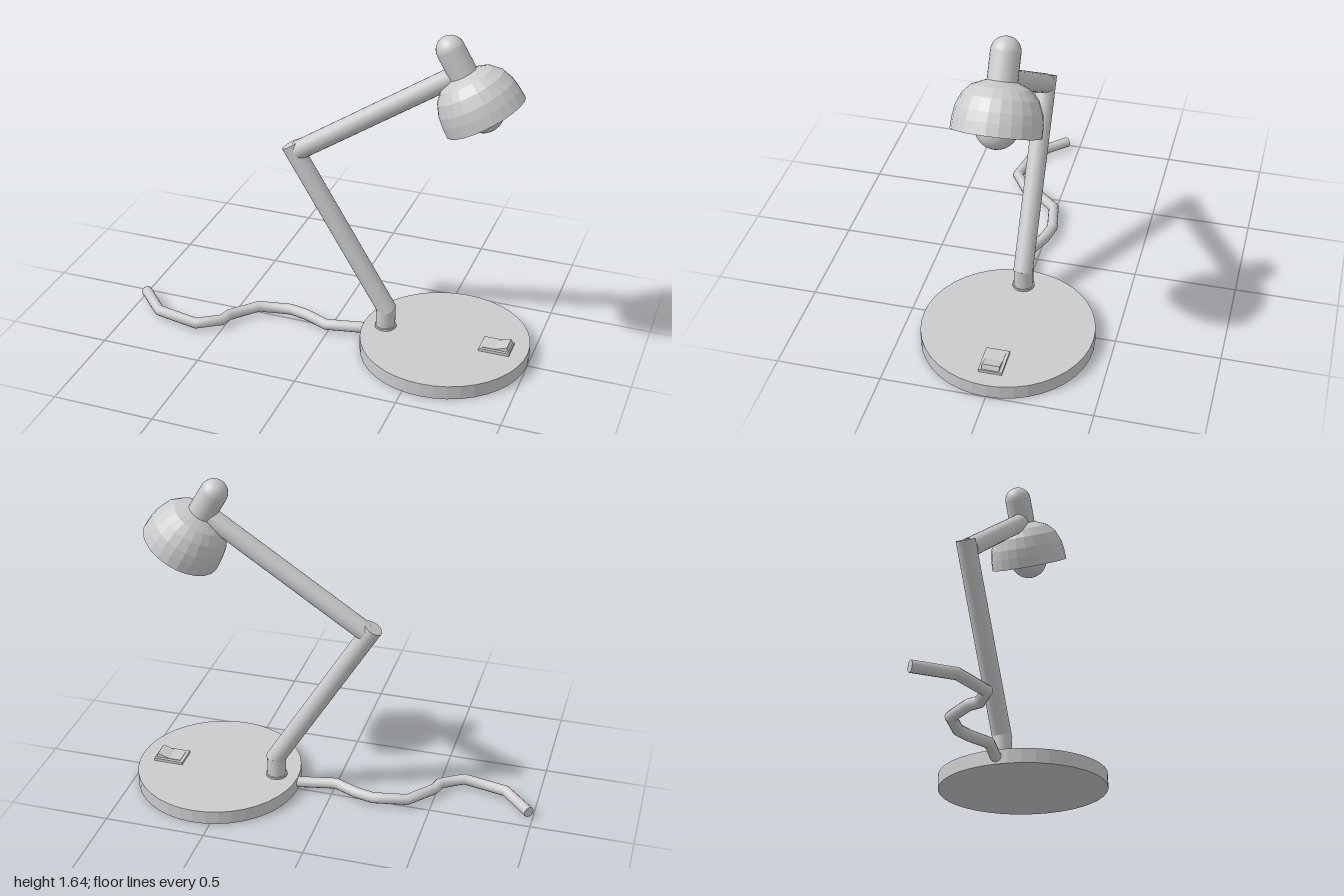
import * as THREE from 'three';

const smooth = new THREE.MeshStandardMaterial({ color: 0xcccccc });
const faceted = new THREE.MeshStandardMaterial({ color: 0xcccccc, flatShading: true });
const shell = new THREE.MeshStandardMaterial({ color: 0xcccccc, flatShading: true, side: THREE.DoubleSide });

const V = (x, y, z = 0) => new THREE.Vector3(x, y, z);
const UP = V(0, 1, 0);

function add(parent, name, geometry, material = smooth, position = V(0, 0, 0)) {
  const mesh = new THREE.Mesh(geometry, material);
  mesh.name = name;
  mesh.position.copy(position);
  parent.add(mesh);
  return mesh;
}

// Capped round bar between two points
function rod(parent, name, a, b, radius, sides = 24, material = smooth) {
  const dir = b.clone().sub(a);
  const geometry = new THREE.CylinderGeometry(radius, radius, dir.length(), sides);
  const mesh = add(parent, name, geometry, material, a.clone().add(b).multiplyScalar(0.5));
  mesh.quaternion.setFromUnitVectors(UP, dir.normalize());
  return mesh;
}

// Lamp head, modelled upright with the shade rim at y = 0
function createHead() {
  const head = new THREE.Group();
  head.name = 'lampHead';

  const profile = [[0.197, 0], [0.194, 0.055], [0.187, 0.1], [0.165, 0.155],
    [0.128, 0.195], [0.065, 0.222], [0.001, 0.225]].map(([r, y]) => new THREE.Vector2(r, y));
  add(head, 'shade', new THREE.LatheGeometry(profile, 24), shell);

  rod(head, 'neck', V(0, 0.2), V(0, 0.345), 0.066);
  add(head, 'neckCap', new THREE.SphereGeometry(0.066, 24, 16), smooth, V(0, 0.345));
  rod(head, 'bulbSocket', V(0, 0.08), V(0, 0.222), 0.045);
  add(head, 'bulb', new THREE.SphereGeometry(0.095, 32, 20), smooth, V(0, 0.025));

  head.position.set(0.735, 1.276, 0);
  head.rotation.z = 0.53;
  return head;
}

// Rocker switch: base plate and a bent rocker
function createSwitch() {
  const group = new THREE.Group();
  group.name = 'switch';
  add(group, 'switchPlate', new THREE.BoxGeometry(0.15, 0.014, 0.112), faceted, V(0.845, 0.077));

  const side = new THREE.Shape([[0.785, 0.07], [0.92, 0.07], [0.905, 0.107], [0.845, 0.087], [0.785, 0.087]]
    .map(([x, y]) => new THREE.Vector2(x, y)));
  const rocker = new THREE.ExtrudeGeometry(side, { depth: 0.084, bevelEnabled: false });
  add(group, 'rocker', rocker, faceted, V(0, 0, -0.042));
  return group;
}

// Kinked power cord lying on the table
function createCord() {
  const group = new THREE.Group();
  group.name = 'cord';
  const y = 0.038, radius = 0.027;
  const points = [[0.25, 0], [0.16, 0.01], [-0.01, 0.045], [-0.13, -0.005], [-0.22, -0.025],
    [-0.385, 0.005], [-0.495, 0.13], [-0.51, 0.185], [-0.62, 0.257], [-0.84, 0.212], [-0.981, 0.065]]
    .map(([x, z]) => V(x, y, z));
  const path = new THREE.CatmullRomCurve3(points);
  path.getUtoTmapping = (u) => u; // one straight segment per pair of points
  add(group, 'cable', new THREE.TubeGeometry(path, points.length - 1, radius, 12));

  const end = points[points.length - 1];
  const outward = end.clone().sub(points[points.length - 2]).normalize();
  const cap = add(group, 'cableEnd', new THREE.CircleGeometry(radius, 12), shell, end);
  cap.quaternion.setFromUnitVectors(V(0, 0, 1), outward);
  return group;
}

export function createModel() {
  const lamp = new THREE.Group();
  lamp.name = 'deskLamp';

  // Base disc with the post that carries the arm
  rod(lamp, 'base', V(0.587, 0), V(0.587, 0.07), 0.412, 40, faceted);
  rod(lamp, 'postCollar', V(0.285, 0.06), V(0.285, 0.08), 0.053);
  rod(lamp, 'post', V(0.285, 0.06), V(0.285, 0.18), 0.047);

  // Two arms meeting at the elbow
  rod(lamp, 'lowerArm', V(0.295, 0.16), V(-0.203, 0.98), 0.047);
  rod(lamp, 'upperArm', V(-0.165, 0.954), V(0.585, 1.45), 0.047);

  lamp.add(createHead(), createSwitch(), createCord());
  return lamp;
}
